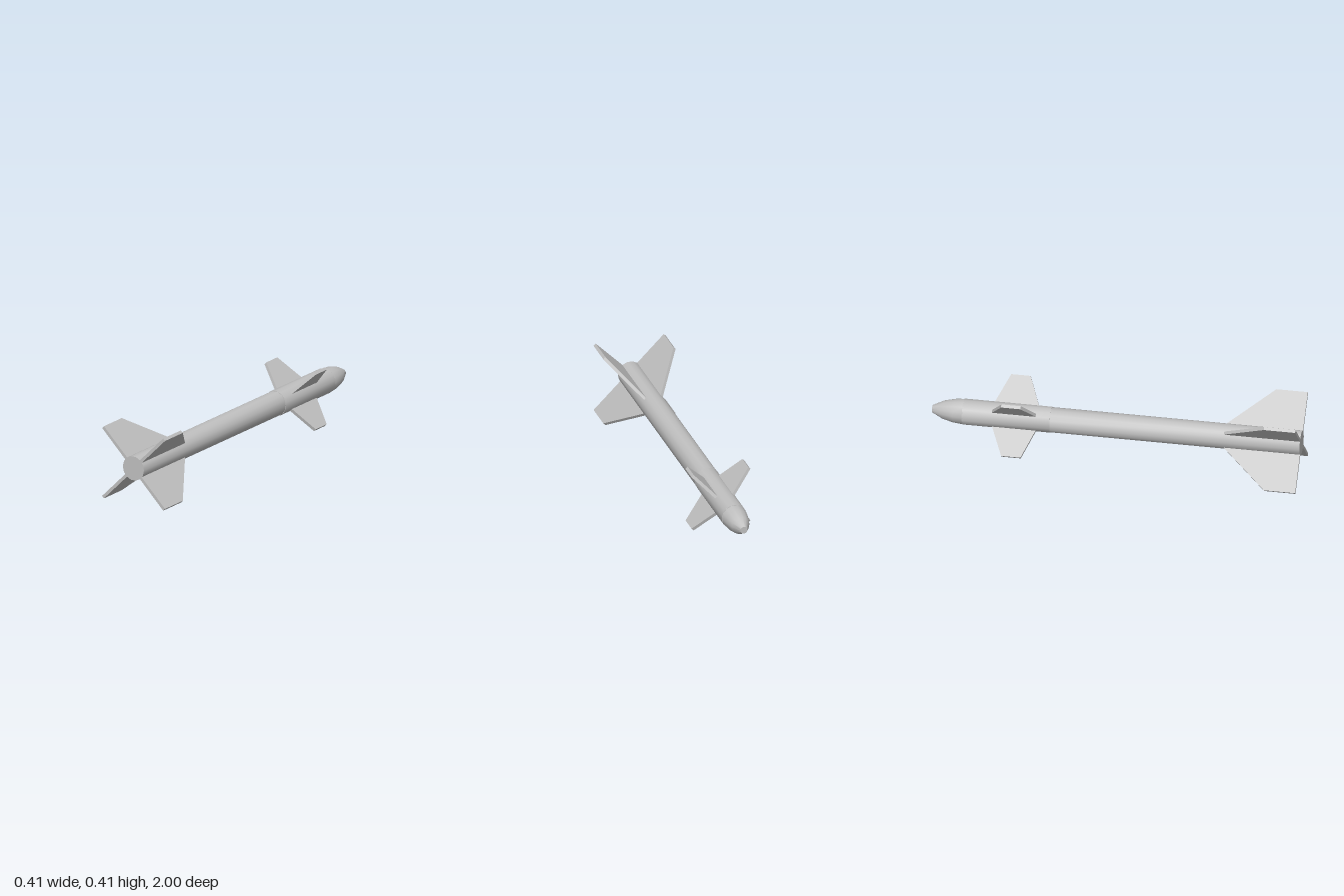
import * as THREE from 'three';
import { toCreasedNormals } from 'three/addons/utils/BufferGeometryUtils.js';

const SIDES = 14;
const AXIS_Y = 0.203;
const FIN_THICKNESS = 0.017;

export function createModel() {
  const model = new THREE.Group();
  model.name = 'finnedRocket';
  const grey = new THREE.MeshStandardMaterial({ color: 0xc0c0c0 });
  grey.name = 'lightGrey';

  const add = (name, geometry, parent = model) => {
    const mesh = new THREE.Mesh(geometry, grey);
    mesh.name = name;
    parent.add(mesh);
    return mesh;
  };

  // Turned part along z from [radius, z] pairs listed tail to nose
  const turned = (name, profile, phase) => {
    const points = profile.map(([r, z]) => new THREE.Vector2(r, -z));
    const lathe = new THREE.LatheGeometry(points, SIDES, phase);
    lathe.rotateX(-Math.PI / 2);
    add(name, toCreasedNormals(lathe, 0.7)).position.set(-0.001, AXIS_Y, 0);
  };

  const half = Math.PI / SIDES;
  turned('bodyTube', [[0, 1], [0.068, 1], [0.068, -0.36], [0, -0.36]], half);
  turned('guidanceSection', [[0, -0.355], [0.07, -0.355], [0.07, -0.83], [0, -0.83]], 0);
  turned('noseCone', [
    [0, -0.825], [0.069, -0.825], [0.064, -0.88], [0.05, -0.94], [0.02, -1], [0, -1],
  ], half);

  // Four flat fins in an X, outlined by [radius, z] corners
  const finSet = (name, outline) => {
    const shape = new THREE.Shape(outline.map(([r, z]) => new THREE.Vector2(r, -z)));
    const geometry = new THREE.ExtrudeGeometry(shape, { depth: FIN_THICKNESS, bevelEnabled: false });
    geometry.translate(0, 0, -FIN_THICKNESS / 2);
    geometry.rotateX(-Math.PI / 2);
    const set = new THREE.Group();
    set.name = name + 's';
    set.position.y = AXIS_Y;
    for (let i = 0; i < 4; i++) {
      add(name, geometry, set).rotation.z = Math.PI / 4 + (i * Math.PI) / 2;
    }
    model.add(set);
  };

  finSet('tailFin', [[0.065, 1], [0.278, 1], [0.278, 0.83], [0.065, 0.585]]);
  finSet('frontFin', [[0.065, -0.43], [0.225, -0.495], [0.225, -0.6], [0.065, -0.67]]);

  return model;
}
